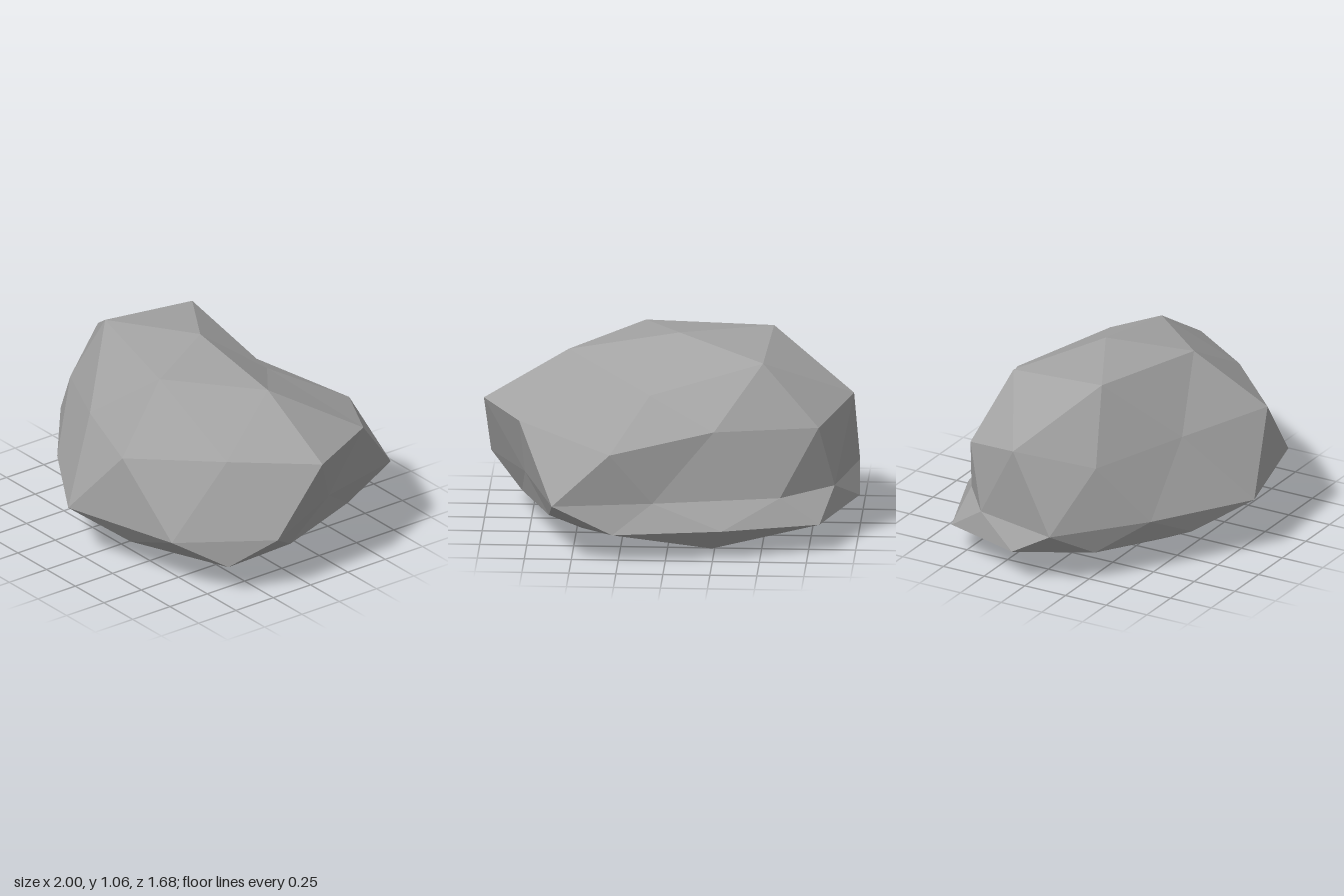
import * as THREE from 'three';

// Corner points of a deformed icosahedron: top, upper ring, lower ring, bottom
const CORNERS = {
  T: [-0.04, 1.06, -0.06],
  F: [0.31, 0.70, 0.73], K: [1.0, 0.69, -0.08], M: [0.295, 0.595, -0.8],
  O: [-0.8, 0.66, -0.45], H: [-0.73, 0.64, 0.28],
  P: [0.83, 0.165, 0.42], W: [0.63, 0.18, -0.535], U: [-0.3, 0.168, -0.755],
  S: [-1.0, 0.18, -0.08], Q: [-0.3, 0.185, 0.62],
  B: [-0.02, 0, -0.08],
};

// Displaced point on each edge, keyed by its two corners
const EDGES = {
  // crown
  TF: [0.16, 1.0, 0.365], TK: [0.55, 0.96, -0.06], TM: [0.1, 0.81, -0.4],
  TO: [-0.5, 0.985, -0.36], TH: [-0.53, 1.03, 0.2],
  // shoulder
  FK: [0.7, 0.71, 0.33], KM: [0.79, 0.695, -0.515], MO: [-0.25, 0.67, -0.595],
  OH: [-0.97, 0.75, -0.09], HF: [-0.24, 0.69, 0.525],
  // waist
  FP: [0.65, 0.31, 0.66], KP: [0.975, 0.315, 0.2], KW: [0.77, 0.35, -0.3],
  MW: [0.6, 0.32, -0.845], MU: [0.07, 0.31, -0.73], OU: [-0.6, 0.3, -0.56],
  OS: [-0.88, 0.31, -0.34], HS: [-0.99, 0.31, 0.145], HQ: [-0.545, 0.31, 0.51],
  FQ: [-0.02, 0.31, 0.84],
  // lower rim
  PW: [0.8, 0.16, -0.02], WU: [0.28, 0.16, -0.825], US: [-0.81, 0.156, -0.56],
  SQ: [-0.76, 0.165, 0.29], QP: [0.27, 0.165, 0.645],
  // underside
  BP: [0.47, 0.06, 0.22], BW: [0.46, 0.06, -0.37], BU: [-0.24, 0.03, -0.61],
  BS: [-0.66, 0.055, -0.08], BQ: [-0.22, 0.06, 0.39],
};

export function createModel() {
  const group = new THREE.Group();
  group.name = 'boulder';
  const stone = new THREE.MeshStandardMaterial({ color: 0xa3a3a3, flatShading: true });
  stone.name = 'stone grey';

  const positions = [];
  const edge = (a, b) => EDGES[a + b] || EDGES[b + a];
  // Split one large face into four facets
  const addFace = (a, b, c) => {
    const A = CORNERS[a], B = CORNERS[b], C = CORNERS[c];
    const ab = edge(a, b), bc = edge(b, c), ca = edge(c, a);
    positions.push(...A, ...ab, ...ca, ...ab, ...B, ...bc, ...ca, ...bc, ...C, ...ab, ...bc, ...ca);
  };

  const upper = 'FKMOH', lower = 'PWUSQ';
  for (let i = 0; i < 5; i++) {
    const j = (i + 1) % 5;
    addFace('T', upper[i], upper[j]);
    addFace(upper[i], lower[i], upper[j]);
    addFace(lower[i], lower[j], upper[j]);
    addFace('B', lower[j], lower[i]);
  }

  const geometry = new THREE.BufferGeometry();
  geometry.setAttribute('position', new THREE.Float32BufferAttribute(positions, 3));
  geometry.computeVertexNormals();
  const rock = new THREE.Mesh(geometry, stone);
  rock.name = 'rock';
  group.add(rock);
  return group;
}
